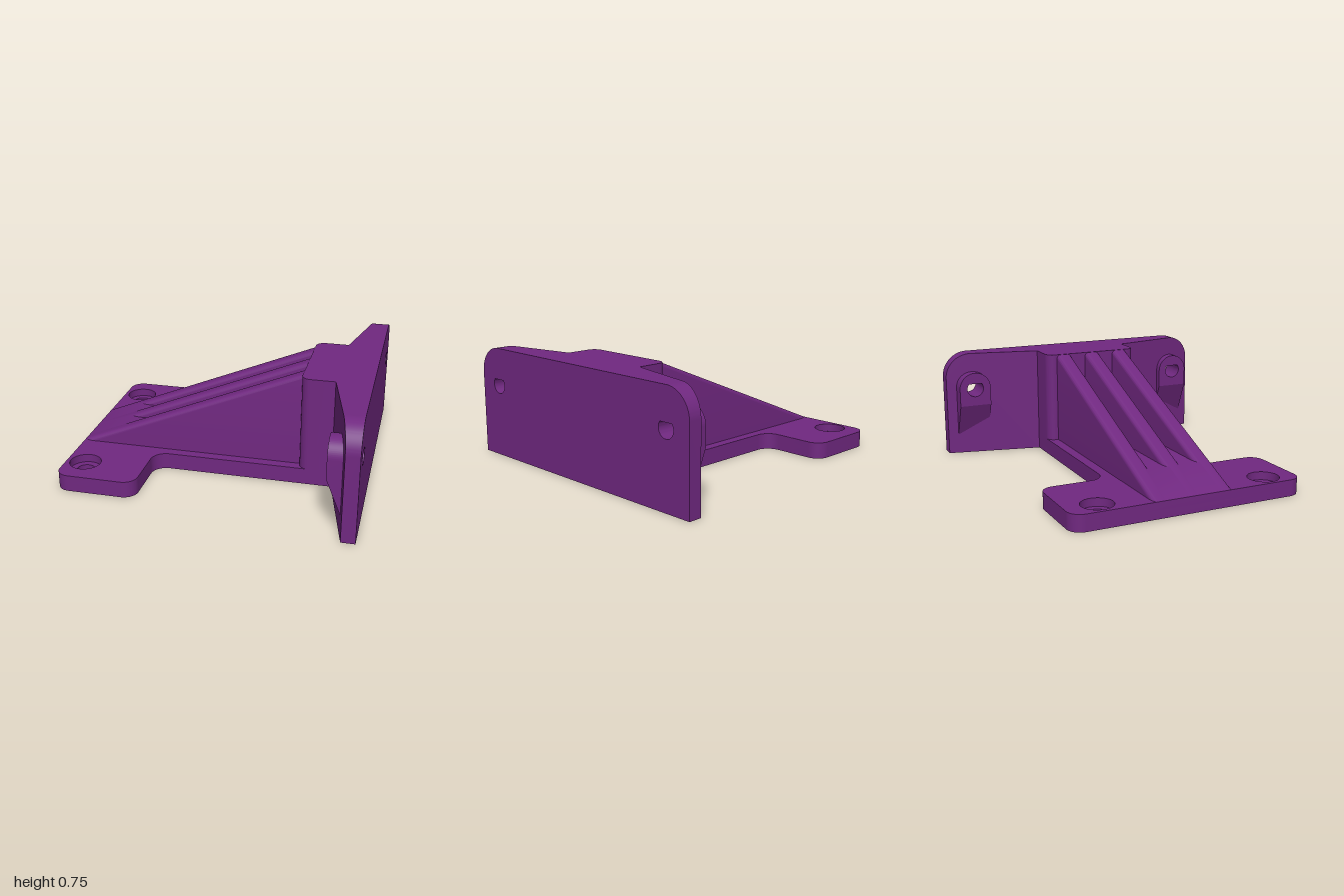
import * as THREE from 'three';
import { toCreasedNormals } from 'three/addons/utils/BufferGeometryUtils.js';

const material = new THREE.MeshStandardMaterial({ color: 0x702880 });
const TOP = 0.745, PLATE = 0.11, HALF = 0.345;
const slopeY = (x) => PLATE + (x + 0.99) * 0.415;            // sloping rib top
const wallX = (z) => 0.755 + (z - HALF) * 0.145 / 0.655;     // tapered front of the wall

// Extrude a shape by one unit, then place each vertex (u, v, t) by a rule.
function solid(name, shape, place) {
  let geo = new THREE.ExtrudeGeometry(shape, { depth: 1, bevelEnabled: false, curveSegments: 16 });
  if (geo.index) geo = geo.toNonIndexed();
  geo.deleteAttribute('uv');
  const p = geo.attributes.position;
  for (let i = 0; i < p.count; i++) p.setXYZ(i, ...place(p.getX(i), p.getY(i), p.getZ(i)));

  // Turn the faces outward when the rule mirrors the shape
  const a = new THREE.Vector3(), b = new THREE.Vector3(), c = new THREE.Vector3();
  let volume = 0;
  for (let i = 0; i < p.count; i += 3) {
    a.fromBufferAttribute(p, i);
    b.fromBufferAttribute(p, i + 1);
    c.fromBufferAttribute(p, i + 2);
    volume += a.dot(b.cross(c));
  }
  if (volume < 0) {
    for (let i = 0; i < p.count; i += 3) {
      b.fromBufferAttribute(p, i + 1);
      c.fromBufferAttribute(p, i + 2);
      p.setXYZ(i + 1, c.x, c.y, c.z);
      p.setXYZ(i + 2, b.x, b.y, b.z);
    }
  }
  geo.computeVertexNormals();
  const mesh = new THREE.Mesh(toCreasedNormals(geo, 0.6), material);
  mesh.name = name;
  return mesh;
}

// Closed outline from [x, y, cornerRadius] points
function outline(points) {
  const s = new THREE.Shape();
  const n = points.length;
  points.forEach(([x, y, r = 0], i) => {
    const corner = new THREE.Vector2(x, y);
    const toward = (q) => new THREE.Vector2(q[0], q[1]).sub(corner).normalize();
    const d0 = toward(points[(i + n - 1) % n]), d1 = toward(points[(i + 1) % n]);
    const start = corner.clone().addScaledVector(d0, r);
    if (i === 0) s.moveTo(start.x, start.y); else s.lineTo(start.x, start.y);
    if (r > 0) {
      // corners are all square, so the arc centre lies r along both edges
      const centre = start.clone().addScaledVector(d1, r);
      const a0 = Math.atan2(-d1.y, -d1.x), a1 = Math.atan2(-d0.y, -d0.x);
      s.absarc(centre.x, centre.y, r, a0, a1, d0.cross(d1) > 0);
    }
  });
  s.closePath();
  return s;
}

function roundHole(x, y, r) {
  const h = new THREE.Path();
  h.absarc(x, y, r, 0, Math.PI * 2, true);
  return h;
}

// Keyhole-like drop: round below, pointed above
function dropHole(x, y, r, tip) {
  const h = new THREE.Path();
  const a = Math.acos(r / tip);
  h.moveTo(x, y + tip);
  h.absarc(x, y, r, Math.PI / 2 + a, Math.PI / 2 - a + Math.PI * 2, false);
  h.closePath();
  return h;
}

export function createModel() {
  const model = new THREE.Group();
  model.name = 'wallBracket';

  // T-shaped base plate in two layers: screw holes below, counterbores above
  const layers = [['basePlateLower', 0, 0.055, 0.06], ['basePlateUpper', 0.055, PLATE, 0.105]];
  for (const [name, y0, y1, r] of layers) {
    const plate = outline([
      [-0.99, -0.8, 0.09], [-0.45, -0.8, 0.09], [-0.45, -HALF, 0.1], [0.7, -HALF],
      [0.7, HALF], [-0.45, HALF, 0.1], [-0.45, 0.8, 0.09], [-0.99, 0.8, 0.09],
    ]);
    for (const s of [-1, 1]) plate.holes.push(roundHole(-0.86, s * 0.585, r));
    model.add(solid(name, plate, (u, v, t) => [u, y0 + (y1 - y0) * t, v]));
  }

  // Raised floor between the ribs, with a ramp at its low end
  const floor = outline([
    [-0.99, 0.05], [0.56, 0.05], [0.56, 0.222], [-0.72, 0.222], [-0.99, PLATE],
  ]);
  model.add(solid('ribFloor', floor, (u, v, t) => [u, v, (t - 0.5) * 0.44]));

  // Three sloping ribs with rounded top edges
  const rib = outline([[-0.055, -1], [0.055, -1], [0.055, 0, 0.03], [-0.055, 0, 0.03]]);
  for (const z of [-0.22, 0, 0.22]) {
    model.add(solid('slopingRib', rib, (u, v, t) => {
      const x = -0.99 + 1.53 * t;
      return [x, v < -0.5 ? 0.05 : slopeY(x) + v, z + u];
    }));
  }

  // Central block joining ribs and wall
  const block = outline([
    [0.535, -HALF, 0.06], [0.755, -HALF], [0.99, -HALF],
    [0.99, HALF], [0.755, HALF], [0.535, HALF, 0.06],
  ]);
  model.add(solid('centralBlock', block, (u, v, t) => [u, TOP * t, v]));

  for (const s of [-1, 1]) {
    // Tapered wall wing with a rounded top corner
    const wing = outline([[HALF, 0], [1, 0], [1, TOP, 0.18], [HALF, TOP]]);
    wing.holes.push(dropHole(0.815, 0.495, 0.06, 0.1));
    model.add(solid('wallWing', wing, (u, v, t) => [t < 0.5 ? 0.99 : wallX(u), v, s * u]));

    // Round-topped boss around the hole
    const boss = outline([[0.7, 0.37], [0.93, 0.37], [0.93, 0.61, 0.114], [0.7, 0.61, 0.114]]);
    boss.holes.push(dropHole(0.815, 0.495, 0.06, 0.1));
    model.add(solid('holeBoss', boss, (u, v, t) => [t < 0.5 ? wallX(u) + 0.005 : 0.79, v, s * u]));

    // Sloping support running from the boss back into the wall
    const support = outline([[0.7, 0.12], [0.93, 0.12], [0.93, 0.37], [0.7, 0.37]]);
    model.add(solid('bossSupport', support, (u, v, t) =>
      [t < 0.5 ? 0.95 : 0.79 + (0.37 - v) * 0.41, v, s * u]));
  }
  return model;
}
